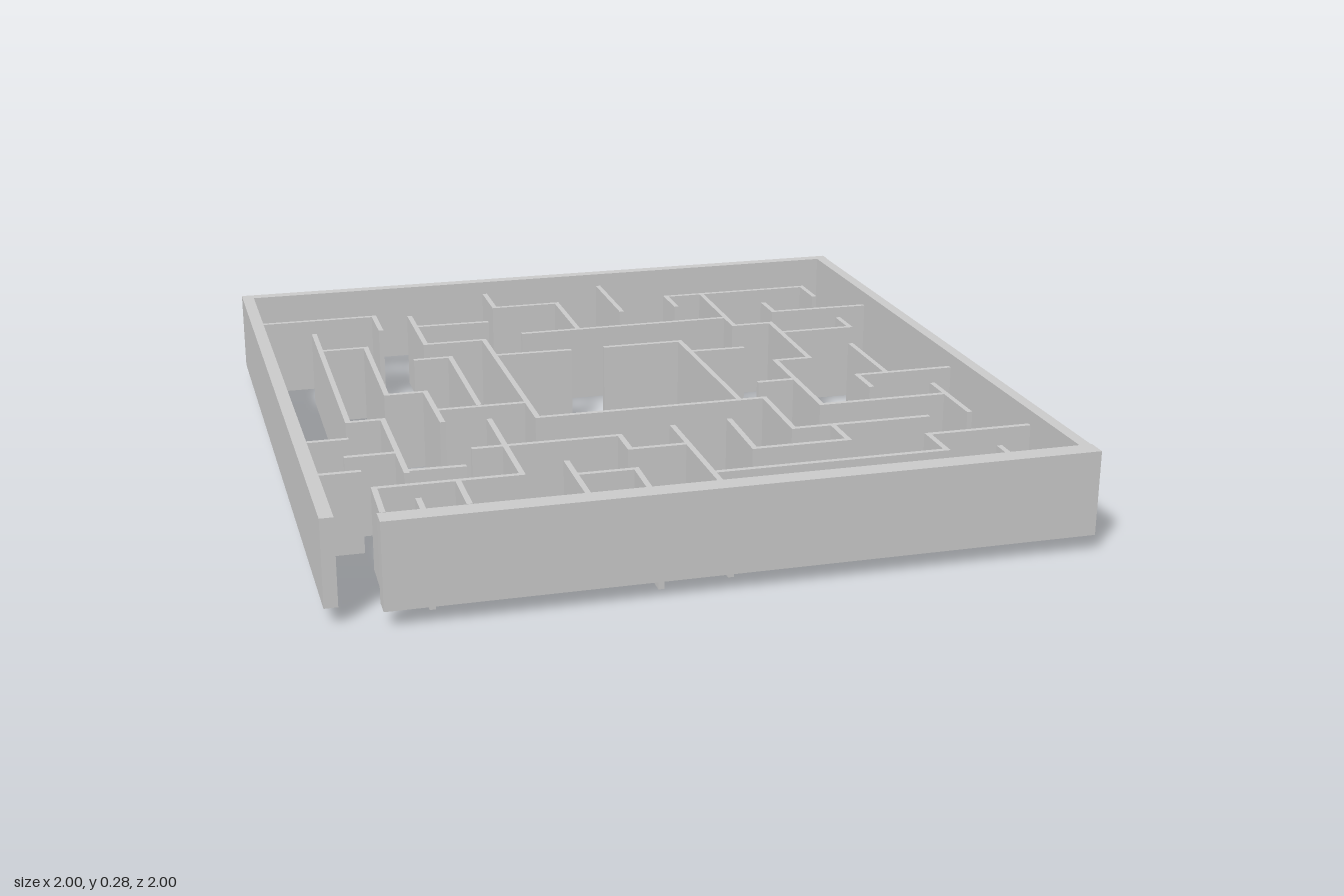
import * as THREE from 'three';

const material = new THREE.MeshStandardMaterial({ color: 0xcccccc, flatShading: true });
const THICKNESS = 0.015;

// Upright prism over a floor outline given as [x, z] corners
function prism(name, outline, bottom, top) {
  const shape = new THREE.Shape(outline.map(([x, z]) => new THREE.Vector2(x, -z)));
  const geometry = new THREE.ExtrudeGeometry(shape, { depth: top - bottom, bevelEnabled: false });
  geometry.rotateX(-Math.PI / 2).translate(0, bottom, 0);
  const mesh = new THREE.Mesh(geometry, material);
  mesh.name = name;
  return mesh;
}

// Mitred band of constant thickness around a path of [x, z] points
function band(path, thickness) {
  const points = path.map(([x, z]) => new THREE.Vector2(x, z));
  const normals = points.slice(1).map((p, i) => {
    const d = p.clone().sub(points[i]).normalize();
    return new THREE.Vector2(-d.y, d.x);
  });
  const left = [], right = [];
  points.forEach((p, i) => {
    const a = normals[Math.max(i - 1, 0)];
    const b = normals[Math.min(i, normals.length - 1)];
    const offset = a.clone().add(b).multiplyScalar(thickness / 2 / (1 + a.dot(b)));
    left.push([p.x + offset.x, p.y + offset.y]);
    right.unshift([p.x - offset.x, p.y - offset.y]);
  });
  return [...left, ...right];
}

export function createModel() {
  const model = new THREE.Group();
  model.name = 'maze';

  // Thick outer walls, with the entrance gap at the front corner
  const outer = {
    backWall: [[-1, -1], [0.98, -1], [0.98, -0.965], [-1, -0.965]],
    rightWall: [[-1, -0.965], [-0.965, -0.965], [-0.945, 0.945], [-0.98, 0.945]],
    leftWall: [[0.945, -0.965], [0.978, -0.965], [0.992, 0.945], [0.96, 0.945]],
    frontWall: [[-0.845, 0.945], [0.995, 0.945], [0.995, 1], [-0.845, 1]],
  };
  for (const [name, outline] of Object.entries(outer)) {
    model.add(prism(name, outline, 0.045, 0.275));
  }

  // Thin inner walls, grouped by region of the maze
  const regions = {
    backInnerWalls: [
      [[-0.965, -0.8], [-0.605, -0.8], [-0.605, -0.64]],
      [[-0.215, -0.965], [-0.215, -0.8], [-0.01, -0.8], [-0.01, -0.5]],
      [[0.17, -0.965], [0.17, -0.65]],
      [[0.355, -0.66], [0.355, -0.785], [0.825, -0.785], [0.825, -0.66]],
      [[-0.19, -0.5], [0.47, -0.505]],
      [[0.64, -0.635], [0.64, -0.53], [0.945, -0.525]],
      [[-0.49, -0.655], [-0.265, -0.65]],
    ],
    middleInnerWalls: [
      [[0.475, -0.785], [0.47, -0.415], [0.59, -0.415], [0.585, -0.045],
        [0.48, -0.045], [0.475, 0.365], [0.85, 0.365]],
      [[0.59, -0.31], [0.815, -0.31], [0.815, -0.415]],
      [[-0.495, -0.775], [-0.495, -0.465], [-0.315, -0.465], [-0.31, 0.27],
        [0.34, 0.27], [0.335, 0.53], [0.725, 0.53]],
      [[-0.81, -0.655], [-0.815, 0.18], [-0.72, 0.18], [-0.72, 0.6]],
      [[-0.81, -0.477], [-0.675, -0.477], [-0.68, -0.022], [-0.57, -0.022], [-0.567, 0.245]],
      [[-0.555, -0.32], [-0.445, -0.32], [-0.445, 0.13]],
      [[-0.31, -0.305], [-0.08, -0.3]],
      [[0.02, -0.3], [0.26, -0.3], [0.267, 0.27]],
      [[-0.565, 0.14], [-0.31, 0.14]],
      [[0.365, 0.135], [0.475, 0.135]],
      [[0.665, 0.26], [0.665, 0.145], [0.955, 0.145]],
      [[0.755, -0.145], [0.755, 0.145]],
    ],
    frontInnerWalls: [
      [[-0.955, 0.31], [-0.83, 0.31]],
      [[-0.86, 0.445], [-0.72, 0.445]],
      [[-0.955, 0.555], [-0.83, 0.555]],
      [[-0.72, 0.58], [-0.565, 0.585]],
      [[-0.44, 0.25], [-0.44, 0.68], [-0.815, 0.68], [-0.818, 0.845]],
      [[-0.605, 0.68], [-0.605, 0.845]],
      [[-0.72, 0.775], [-0.72, 0.945]],
      [[-0.53, 0.465], [-0.13, 0.465], [-0.13, 0.572], [0.03, 0.572]],
      [[0.027, 0.425], [0.03, 0.945]],
      [[0.03, 0.788], [0.665, 0.788], [0.665, 0.665], [0.96, 0.665]],
      [[0.81, 0.795], [0.81, 0.905]],
      [[0.19, 0.415], [0.185, 0.65], [0.445, 0.65], [0.445, 0.53]],
      [[0.845, 0.27], [0.845, 0.53]],
    ],
  };
  // Walls that sit lowest and touch the ground
  const lowWalls = [
    [[0.265, -0.225], [0.44, -0.22]],
    [[-0.305, 0.59], [-0.305, 0.848], [-0.49, 0.848]],
    [[-0.305, 0.69], [-0.145, 0.69], [-0.15, 0.945]],
  ];
  const addWalls = (name, paths, bottom, top) => {
    const group = new THREE.Group();
    group.name = name;
    paths.forEach((path, i) => {
      group.add(prism(`innerWall${i + 1}`, band(path, THICKNESS), bottom, top));
    });
    model.add(group);
  };
  for (const [name, paths] of Object.entries(regions)) addWalls(name, paths, 0.012, 0.235);
  addWalls('lowInnerWalls', lowWalls, 0, 0.225);

  return model;
}
